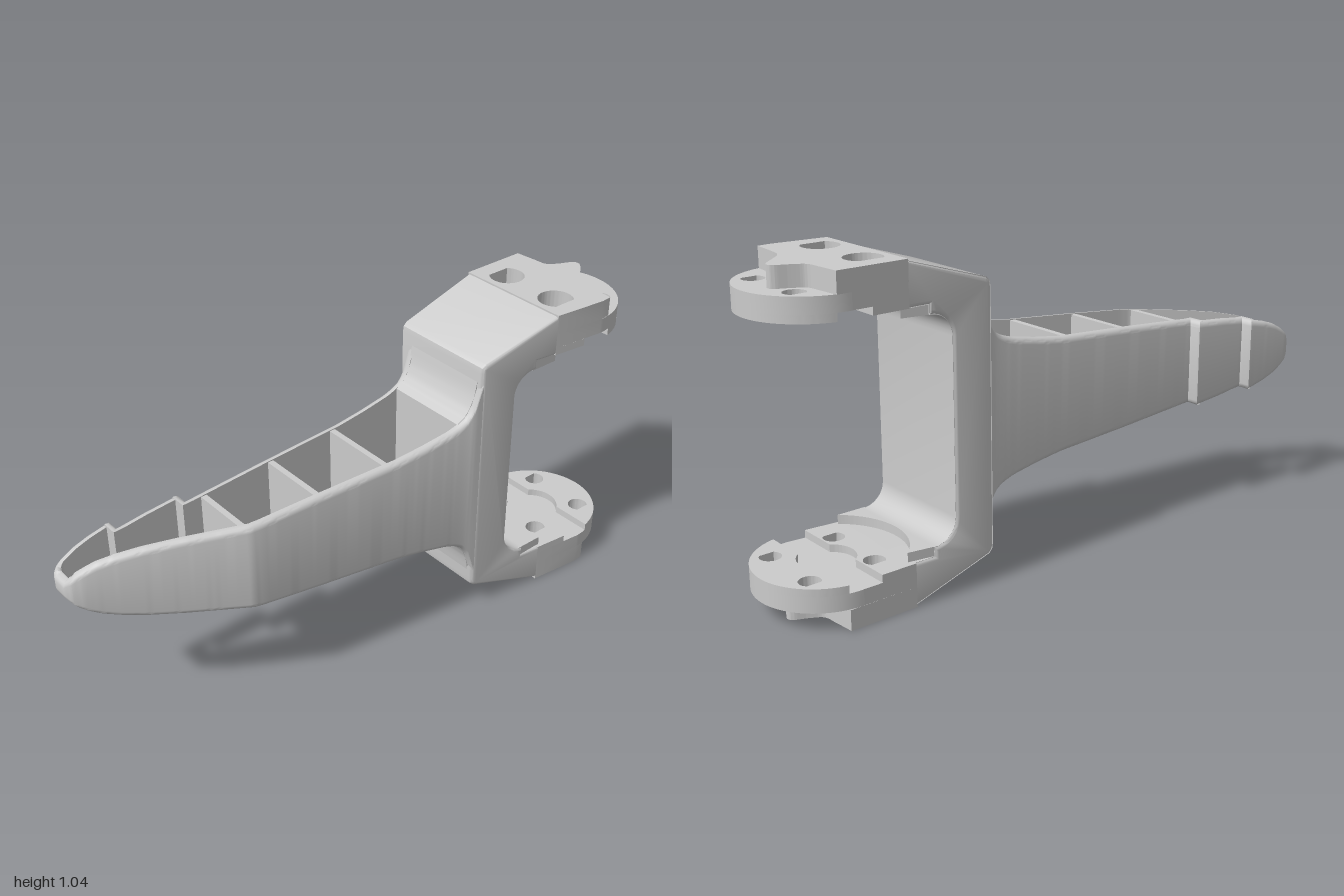
import * as THREE from 'three';
import { toCreasedNormals } from 'three/addons/utils/BufferGeometryUtils.js';

const MID = 0.5225;                               // height of the mirror plane
const material = new THREE.MeshStandardMaterial({ color: 0xcccccc });
const rightEdge = z => 0.1 + (0.5 - z) * 0.1094;  // slanted flank in plan

// Half height of the arm along z
const HEIGHTS = [[-0.312, 0.38], [-0.306, 0.345], [-0.3, 0.315], [-0.285, 0.278], [-0.265, 0.252], [-0.24, 0.236],
  [-0.2, 0.222], [-0.1, 0.203], [0, 0.189], [0.28, 0.171], [0.53, 0.152], [0.7, 0.137], [0.8, 0.124],
  [0.87, 0.109], [0.92, 0.093], [0.96, 0.072], [0.985, 0.053], [1, 0.034]];
function halfHeight(z) {
  let i = 1;
  while (i < HEIGHTS.length - 1 && z > HEIGHTS[i][0]) i++;
  const [a, b] = [HEIGHTS[i - 1], HEIGHTS[i]];
  return THREE.MathUtils.mapLinear(THREE.MathUtils.clamp(z, a[0], b[0]), a[0], b[0], a[1], b[1]);
}

function add(parent, name, geometry) {
  const mesh = new THREE.Mesh(toCreasedNormals(geometry, 0.55), material);
  mesh.name = name;
  parent.add(mesh);
}

// Side profile (points are -z, y) pushed along x, its right end following the slanted flank
function sideExtrude(points, left, inset, bevel) {
  const shape = new THREE.Shape(points.map(p => new THREE.Vector2(...p)));
  const geo = new THREE.ExtrudeGeometry(shape, {
    depth: 1 - 2 * bevel, bevelEnabled: bevel > 0, bevelSize: bevel, bevelOffset: -bevel,
    bevelThickness: bevel, bevelSegments: 3
  });
  geo.translate(0, 0, bevel).rotateY(Math.PI / 2);
  const p = geo.attributes.position;
  for (let i = 0; i < p.count; i++) {
    const right = rightEdge(p.getZ(i)) - inset, w = right - left, x = p.getX(i);
    // keep the bevel its true size at both ends
    p.setX(i, x <= bevel ? left + x : x >= 1 - bevel - 1e-6 ? right - (1 - x) : left + x * w);
  }
  return geo;
}

// Plan shape (x, -z) extruded upward from y0 to y1
const planExtrude = (shape, y0, y1) =>
  new THREE.ExtrudeGeometry(shape, { depth: y1 - y0, bevelEnabled: false, curveSegments: 32 })
    .rotateX(-Math.PI / 2).translate(0, y0, 0);

// Teardrop opening with its point toward dir
function teardrop(x, b, r, dir) {
  const hole = new THREE.Path(), a = Math.PI / 4, turn = dir > 0 ? 0 : Math.PI;
  hole.moveTo(x + dir * r * 1.414, b);
  hole.absarc(x, b, r, turn + a, turn + 2 * Math.PI - a, false);
  hole.closePath();
  return hole;
}

// Thin wall swept along a plan path, outer edges rounded
function sweptWall(corners, thick, round) {
  const path = [];
  corners.forEach((c, i) => {
    if (i === 0) return path.push(new THREE.Vector2(...c));
    const a = new THREE.Vector2(...corners[i - 1]), b = new THREE.Vector2(...c);
    const n = Math.ceil(a.distanceTo(b) / 0.014);
    for (let k = 1; k <= n; k++) path.push(a.clone().lerp(b, k / n));
  });
  const normals = path.slice(1).map((p, i) => {
    const d = p.clone().sub(path[i]).normalize();
    return new THREE.Vector2(d.y, -d.x);
  });
  const pos = [], index = [];
  let size = 0;
  path.forEach((p, i) => {
    const n1 = normals[Math.max(i - 1, 0)], n2 = normals[Math.min(i, normals.length - 1)];
    const m = n1.clone().add(n2).divideScalar(1 + n1.dot(n2));
    const h = halfHeight(p.y), r = Math.min(round, h * 0.8);
    const half = [[-thick, h]];
    for (let k = 0; k <= 4; k++) {
      const t = k * Math.PI / 8;
      half.push([-r + r * Math.sin(t), h - r + r * Math.cos(t)]);
    }
    const ring = [...half.map(([u, y]) => [u, -y]), ...half.slice().reverse()];
    size = ring.length;
    ring.forEach(([u, y]) => pos.push(p.x + m.x * u, MID + y, p.y + m.y * u));
  });
  for (let i = 0; i < path.length - 1; i++) for (let j = 0; j < size; j++) {
    const a = i * size + j, b = i * size + (j + 1) % size;
    index.push(a, b, a + size, b, b + size, a + size);
  }
  const geo = new THREE.BufferGeometry();
  geo.setAttribute('position', new THREE.Float32BufferAttribute(pos, 3));
  geo.setIndex(index);
  return geo;
}

// One mounting plate, built for the top
function mountingPlate() {
  const plate = new THREE.Group();
  const cx = 0.024, cb = 0.785, R = 0.215, start = 0.6;
  const holes = [[-0.09, 0.68, -1], [0.13, 0.68, 1], [-0.09, 0.9, -1], [0.13, 0.9, 1]];
  const small = list => list.map(([x, b, d]) => teardrop(x, b, 0.034, d));

  // Round-ended main plate
  const disc = new THREE.Shape();
  disc.moveTo(rightEdge(-start), start);
  disc.lineTo(-0.19, start);
  disc.lineTo(-0.19, cb);
  disc.absarc(cx, cb, R, Math.PI, 0, true);
  disc.closePath();
  disc.holes = small(holes);
  add(plate, 'plateDisc', planExtrude(disc, 0.93, 0.98));

  // Thick outer pad with its notched end and screw pockets
  const pad = new THREE.Shape();
  pad.moveTo(rightEdge(-start), start);
  pad.lineTo(-0.19, start);
  pad.lineTo(-0.191, 0.832);
  pad.splineThru([[-0.12, 0.838], [-0.07, 0.845], [-0.045, 0.88], [-0.025, 0.922], [-0.005, 0.932], [0.02, 0.915],
    [0.08, 0.85], [0.125, 0.832], [0.235, 0.822]].map(p => new THREE.Vector2(...p)));
  pad.lineTo(0.239, 0.785);
  pad.closePath();
  pad.holes = holes.slice(0, 2).map(([x, b, d]) => teardrop(x, b, 0.058, d));
  add(plate, 'platePad', planExtrude(pad, 0.98, 1.045));

  // Inner face, split by a cross channel that widens round the pivot
  const nr = 0.09, na = 0.657, ca = 0.211;
  const near = new THREE.Shape();
  near.moveTo(-0.19, start);
  near.lineTo(rightEdge(-start), start);
  near.lineTo(0.233, 0.72);
  near.absarc(0.02, 0.775, nr, -na, na - Math.PI, true);
  near.lineTo(-0.19, 0.72);
  near.closePath();
  near.holes = small(holes.slice(0, 2));
  add(plate, 'innerFaceNear', planExtrude(near, 0.905, 0.93));
  const far = new THREE.Shape();
  far.absarc(cx, cb, R, Math.PI - ca, ca, true);
  far.absarc(0.02, 0.775, nr, na, Math.PI - na, false);
  far.closePath();
  far.holes = small(holes.slice(2));
  add(plate, 'innerFaceFar', planExtrude(far, 0.905, 0.93));

  // Curved step that clears the turning part
  const step = new THREE.Shape();
  step.moveTo(-0.185, 0.515);
  step.lineTo(0.208, 0.515);
  step.absarc(0.02, 0.78, 0.25, -0.72, 0.72 - Math.PI, true);
  step.closePath();
  add(plate, 'innerStep', planExtrude(step, 0.875, 0.91));
  return plate;
}

export function createModel() {
  const model = new THREE.Group();
  model.name = 'bracket';

  // C-shaped frame: web with two sloping shoulders
  const half = [[0.31, 0.925], [0.313, 0.943], [0.325, 0.955], [0.612, 1.043], [0.612, 0.905], [0.53, 0.905], [0.53, 0.875]];
  for (let k = 0; k <= 8; k++) {
    const t = k * Math.PI / 16;
    half.push([0.525 - 0.075 * Math.sin(t), 0.8 + 0.075 * Math.cos(t)]);
  }
  const mirrored = half.map(([a, y]) => [a, 2 * MID - y]).reverse();
  add(model, 'frame', sideExtrude([...half, ...mirrored], -0.19, 0, 0.012));

  // Flared root joining the arm to the frame
  const flare = [];
  for (let a = 0.24; a < 0.316; a += 0.006) flare.push([a, halfHeight(-a)]);
  add(model, 'armRoot', sideExtrude([...flare.map(([a, h]) => [a, MID + h]),
    ...flare.map(([a, h]) => [a, MID - h]).reverse()], -0.14, 0.022, 0));

  // Open arm: one wall running round the nose, stepped on the right-hand flank
  add(model, 'armWall', sweptWall([[rightEdge(-0.318), -0.318], [rightEdge(0.48), 0.48], [0.096, 0.515], [-0.125, 0.955],
    [-0.145, 0.985], [-0.17, 1], [-0.22, 1], [-0.235, 0.994], [-0.242, 0.98], [-0.242, 0.79], [-0.2, 0.79],
    [-0.2, 0.575], [-0.158, 0.575], [-0.158, -0.318]], 0.025, 0.02));

  // Cross ribs
  for (const z of [0.03, 0.275, 0.525]) {
    const l = -0.145, r = rightEdge(z) - 0.025;
    add(model, 'rib', new THREE.BoxGeometry(r - l, 2 * halfHeight(z) - 0.006, 0.02).translate((l + r) / 2, MID, z));
  }

  // Plates, the lower one mirrored
  const top = mountingPlate(), bottom = mountingPlate();
  top.name = 'upperPlate';
  bottom.name = 'lowerPlate';
  bottom.scale.y = -1;
  bottom.position.y = 2 * MID;
  model.add(top, bottom);
  return model;
}
